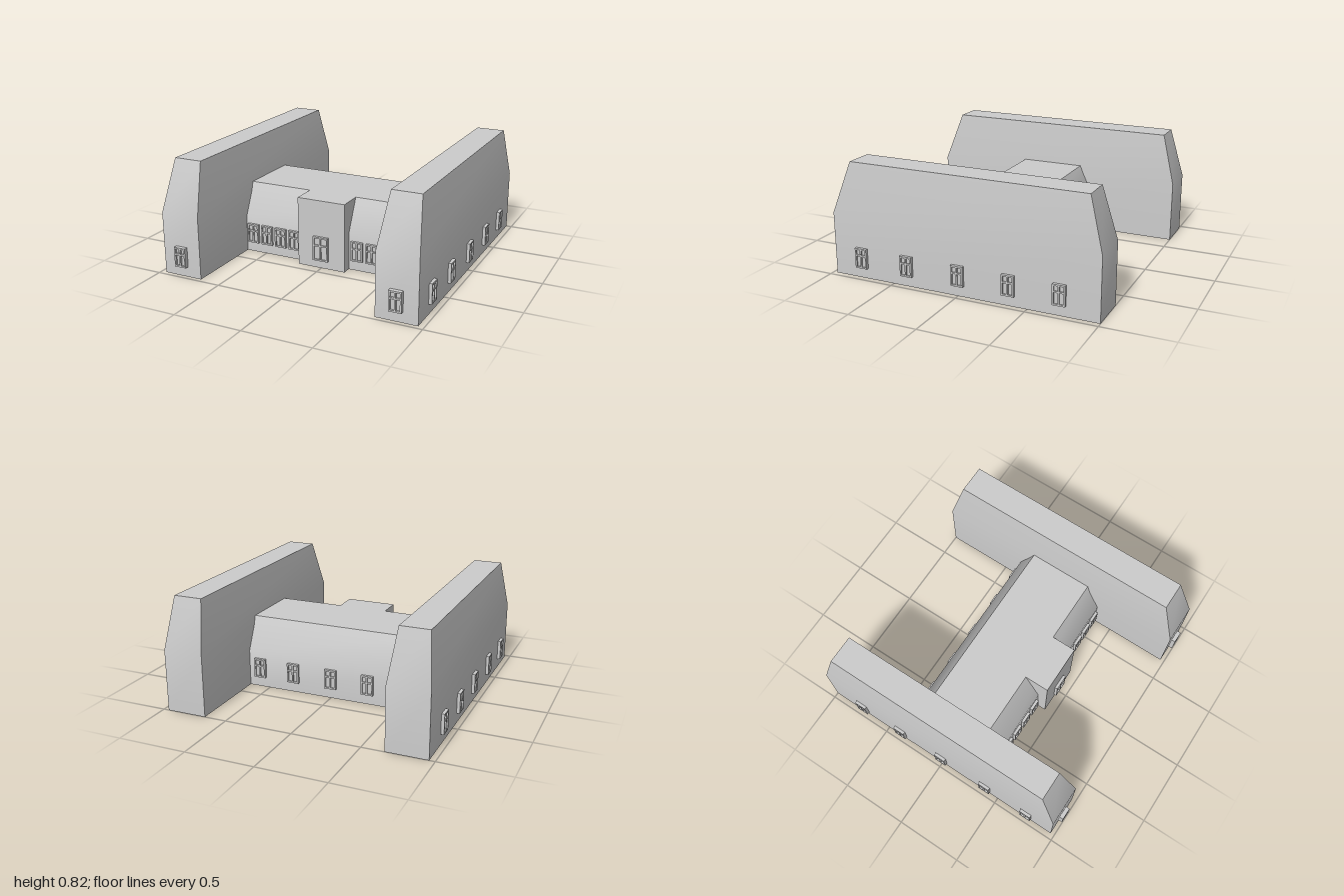
import * as THREE from 'three';
import { toCreasedNormals } from 'three/addons/utils/BufferGeometryUtils.js';

const material = new THREE.MeshStandardMaterial({ color: 0xcccccc });

function mesh(name, geometry) {
  const m = new THREE.Mesh(geometry, material);
  m.name = name;
  return m;
}

// Closed solid through stacked rectangles: [y, halfWidth, zBack, zFront]
function stackedBlock(levels) {
  const positions = [];
  const index = [];
  for (const [y, w, z0, z1] of levels) {
    positions.push(-w, y, z1, w, y, z1, w, y, z0, -w, y, z0);
  }
  for (let l = 0; l < levels.length - 1; l++) {
    for (let i = 0; i < 4; i++) {
      const a = l * 4 + i, b = l * 4 + (i + 1) % 4;
      index.push(a, b, b + 4, a, b + 4, a + 4);
    }
  }
  const t = (levels.length - 1) * 4;
  index.push(0, 2, 1, 0, 3, 2, t, t + 1, t + 2, t, t + 2, t + 3);
  const g = new THREE.BufferGeometry();
  g.setAttribute('position', new THREE.Float32BufferAttribute(positions, 3));
  g.setIndex(index);
  return toCreasedNormals(g, 0.6);
}

function rectangle(Type, x0, y0, x1, y1) {
  const p = new Type();
  p.moveTo(x0, y0).lineTo(x1, y0).lineTo(x1, y1).lineTo(x0, y1).closePath();
  return p;
}

// Frame with two small upper and two tall lower openings; its back is at z = 0
function paned(name, w, h, depth) {
  const g = new THREE.Group();
  g.name = name;
  const bar = 0.011, split = h * 0.64;
  const frame = rectangle(THREE.Shape, -w / 2, 0, w / 2, h);
  for (const [y0, y1] of [[bar, split - bar / 2], [split + bar / 2, h - bar]]) {
    frame.holes.push(rectangle(THREE.Path, -w / 2 + bar, y0, -bar / 2, y1));
    frame.holes.push(rectangle(THREE.Path, bar / 2, y0, w / 2 - bar, y1));
  }
  g.add(mesh('frame', new THREE.ExtrudeGeometry(frame, { depth, bevelEnabled: false })));
  const panes = mesh('panes', new THREE.BoxGeometry(w - bar, h - bar, depth * 0.5));
  panes.position.set(0, h / 2, depth * 0.25);
  g.add(panes);
  return g;
}

export function createModel() {
  const model = new THREE.Group();
  model.name = 'building';

  const addWindow = (name, x, z, turn, depth = 0.021) => {
    const win = paned(name, 0.09, 0.145, depth);
    win.position.set(x, 0.075, z);
    win.rotation.y = turn;
    model.add(win);
  };

  // Two long wings with steep hipped roofs
  for (const side of [-1, 1]) {
    const label = side > 0 ? 'left' : 'right';
    const wing = mesh(label + 'Wing', stackedBlock([
      [0, 0.148, -1, 0.97],
      [0.45, 0.148, -1, 0.97],
      [0.82, 0.105, -0.9, 0.84],
    ]));
    wing.position.x = side * 0.812;
    model.add(wing);
    addWindow(label + 'WingFrontWindow', side * 0.812, 0.97, 0, 0.03);
    for (const z of [-0.725, -0.37, 0, 0.39, 0.75]) {
      addWindow(label + 'WingSideWindow', side * 0.96, z, side * Math.PI / 2, 0.022);
    }
  }

  // Lower hall joining the wings
  model.add(mesh('centralHall', stackedBlock([
    [0, 0.68, -0.355, 0.355],
    [0.27, 0.68, -0.355, 0.355],
    [0.51, 0.68, -0.24, 0.24],
  ])));

  // Flat-topped entrance block and its door
  const porch = mesh('entranceBlock', new THREE.BoxGeometry(0.37, 0.51, 0.185));
  porch.position.set(0, 0.255, 0.3325);
  model.add(porch);
  const door = paned('entranceDoor', 0.118, 0.18, 0.021);
  door.position.set(0, 0.06, 0.425);
  model.add(door);

  // Hall windows, front and back
  for (const side of [-1, 1]) {
    for (let i = 0; i < 4; i++) {
      addWindow('hallFrontWindow', side * (0.253 + i * 0.116), 0.355, 0);
    }
  }
  for (const x of [-0.565, -0.285, 0, 0.3, 0.572]) {
    addWindow('hallBackWindow', x, -0.355, Math.PI);
  }
  return model;
}
